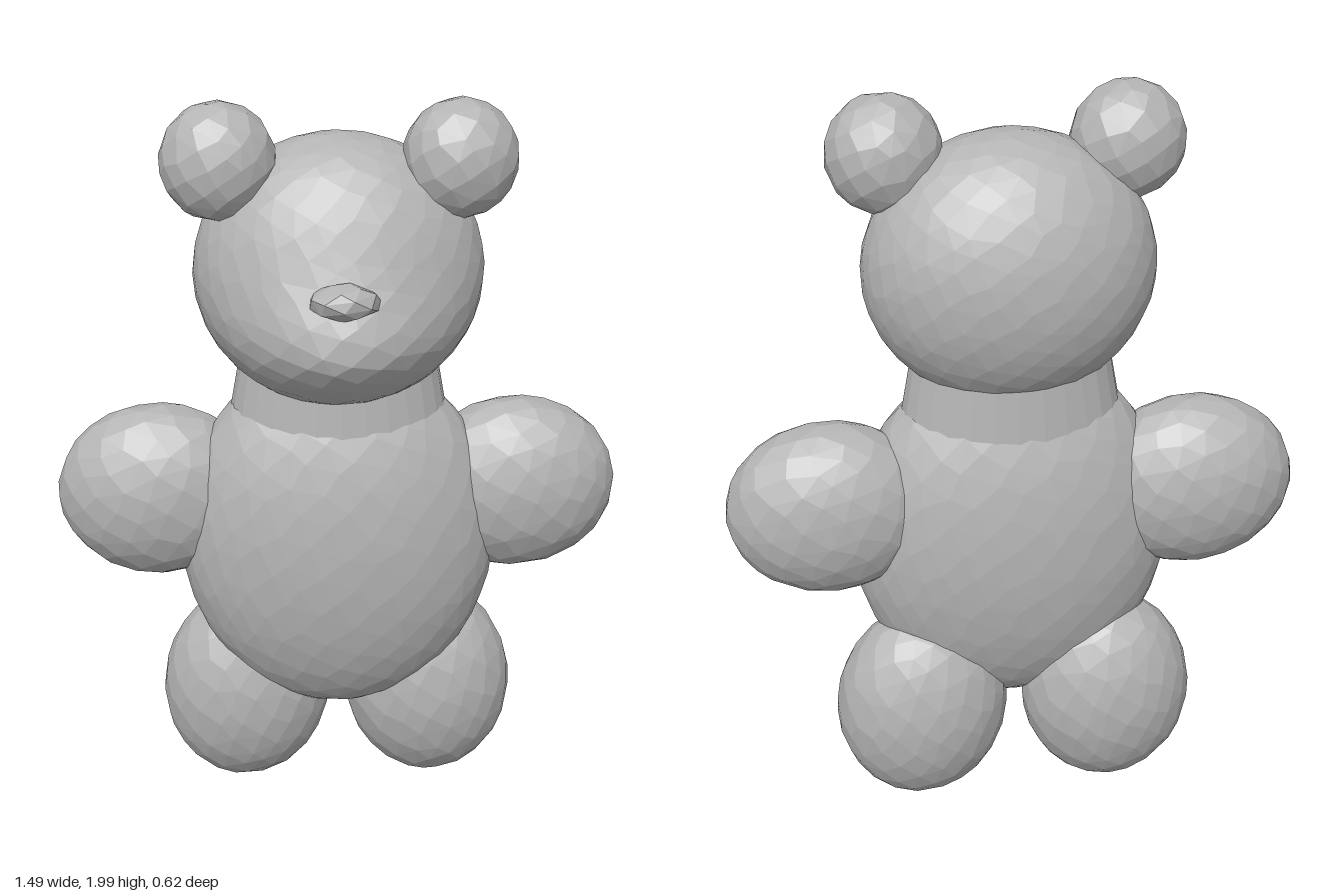
import * as THREE from 'three';
import { ConvexGeometry } from 'three/addons/geometries/ConvexGeometry.js';

// Small seeded generator for the uneven facets
function seeded(seed) {
  return () => {
    seed = (seed * 16807) % 2147483647;
    return seed / 2147483647;
  };
}

// Irregularly faceted ellipsoid: hull of slightly scattered points on a sphere
function blob(count, [rx, ry, rz], seed) {
  const rand = seeded(seed);
  const points = [];
  const scatter = 1.3 / Math.sqrt(count);
  for (let i = 0; i < count; i++) {
    const y = 1 - (2 * (i + 0.5)) / count;
    const r = Math.sqrt(1 - y * y);
    const a = i * Math.PI * (3 - Math.sqrt(5));
    const p = new THREE.Vector3(r * Math.cos(a), y, r * Math.sin(a));
    p.x += (rand() - 0.5) * scatter;
    p.y += (rand() - 0.5) * scatter;
    p.z += (rand() - 0.5) * scatter;
    points.push(p.normalize().multiplyScalar(1.008));
  }
  return new ConvexGeometry(points).scale(rx, ry, rz);
}

export function createModel() {
  const model = new THREE.Group();
  model.name = 'teddyBear';
  const plush = new THREE.MeshStandardMaterial({ color: 0xb4b4b4 });
  plush.name = 'plushGrey';
  plush.flatShading = true;

  function add(name, geometry, x, y, z) {
    const mesh = new THREE.Mesh(geometry, plush);
    mesh.name = name;
    mesh.position.set(x, y, z);
    model.add(mesh);
    return mesh;
  }

  // Torso and neck
  add('body', blob(420, [0.42, 0.51, 0.225], 11), 0, 0.79, -0.07);
  const neck = new THREE.CylinderGeometry(0.255, 0.29, 0.2, 28, 2, true);
  neck.scale(1, 1, 0.58);
  add('neck', neck, 0, 1.22, -0.07);

  // Head with the muzzle pushed out of its front
  const head = blob(420, [0.37, 0.355, 0.26], 23);
  const pos = head.attributes.position;
  for (let i = 0; i < pos.count; i++) {
    const x = pos.getX(i), y = pos.getY(i), z = pos.getZ(i);
    if (z <= 0) continue;
    const bulge = Math.exp(-((x / 0.26) ** 2) - ((y + 0.14) / 0.15) ** 2);
    pos.setZ(i, z + 0.1 * bulge * Math.min(1, z / 0.15));
  }
  head.computeVertexNormals();
  add('head', head, 0, 1.545, -0.05);

  // Nose, tipped slightly upward
  const nose = add('nose', blob(28, [0.09, 0.048, 0.075], 5), 0, 1.56, 0.235);
  nose.rotation.x = -0.2;

  // Mirrored ears, arms and legs
  for (const [side, s] of [['left', 1], ['right', -1]]) {
    add(side + 'Ear', blob(90, [0.146, 0.152, 0.125], 31 + s), s * 0.302, 1.847, -0.005);
    add(side + 'Arm', blob(170, [0.268, 0.24, 0.16], 41 + s), s * 0.478, 0.912, -0.102);
    const leg = add(side + 'Leg', blob(190, [0.23, 0.287, 0.172], 53 + s), s * 0.253, 0.292, -0.137);
    leg.rotation.z = s * 0.06;
  }
  return model;
}
